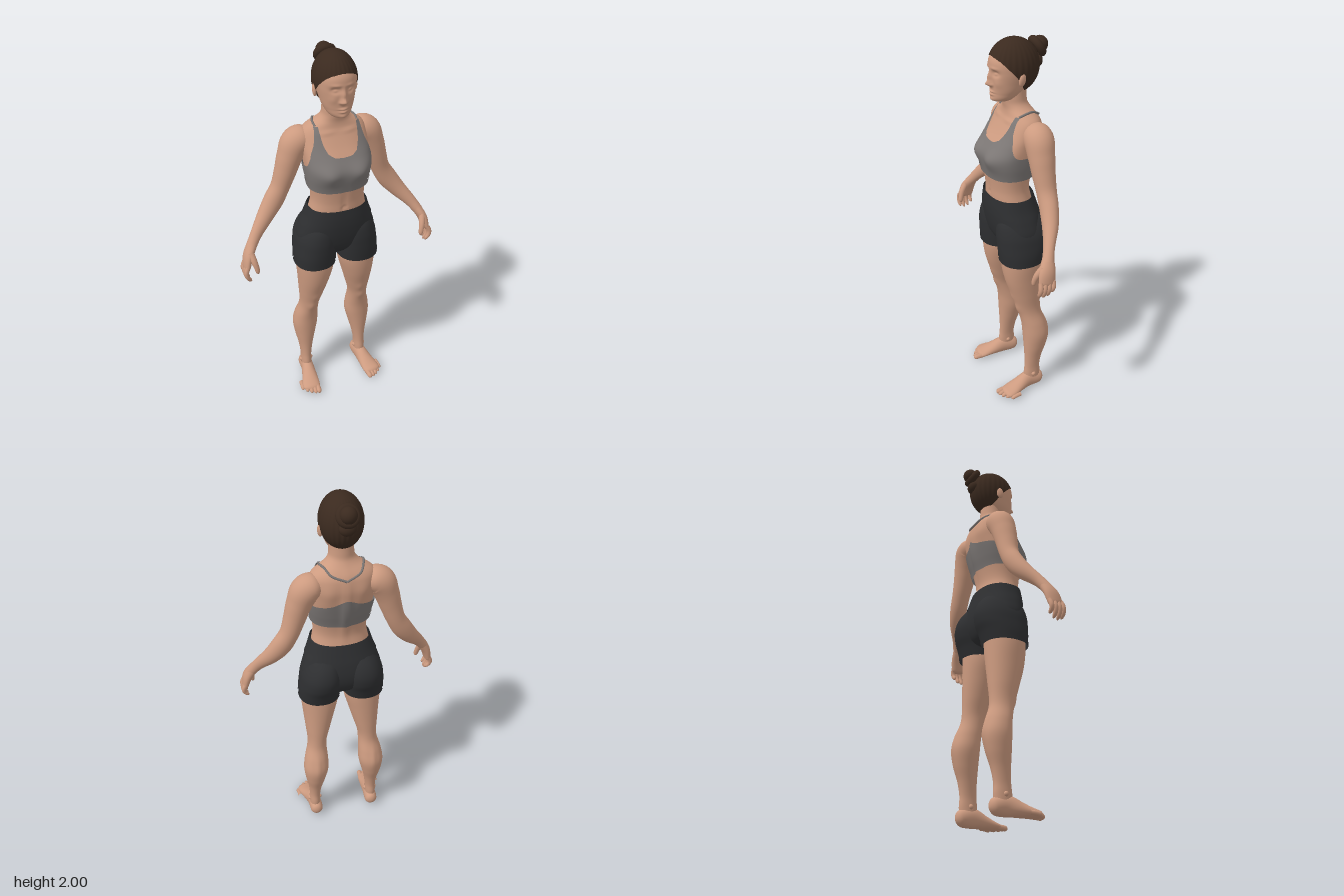
import * as THREE from 'three';
import { mergeVertices } from 'three/addons/utils/BufferGeometryUtils.js';

const { PI, sin, cos, acos, abs, sign, sqrt, min, max, exp } = Math;
const V = (x = 0, y = 0, z = 0) => new THREE.Vector3(x, y, z);

// Smooth interpolation of table rows, keyed by the first column (ascending)
function interp(rows, key) {
  const n = rows.length, k = min(max(key, rows[0][0]), rows[n - 1][0]);
  let i = 0;
  while (i < n - 2 && k > rows[i + 1][0]) i++;
  const a = rows[i], b = rows[i + 1], p = rows[max(i - 1, 0)], q = rows[min(i + 2, n - 1)];
  const h = b[0] - a[0], t = (k - a[0]) / h, t2 = t * t, t3 = t2 * t;
  return a.map((_, c) => {
    const ma = (b[c] - p[c]) / (b[0] - p[0]) * h, mb = (q[c] - a[c]) / (q[0] - a[0]) * h;
    return (2 * t3 - 3 * t2 + 1) * a[c] + (t3 - 2 * t2 + t) * ma + (3 * t2 - 2 * t3) * b[c] + (t3 - t2) * mb;
  });
}

// Smooth surface over a u, v grid
function grid(nu, nv, fn) {
  const pos = [], idx = [];
  for (let i = 0; i <= nu; i++) for (let j = 0; j <= nv; j++) pos.push(...fn(i / nu, j / nv).toArray());
  for (let i = 0; i < nu; i++) for (let j = 0; j < nv; j++) {
    const a = i * (nv + 1) + j, b = a + nv + 1;
    idx.push(a, a + 1, b, b, a + 1, b + 1);
  }
  const open = new THREE.BufferGeometry();
  open.setAttribute('position', new THREE.Float32BufferAttribute(pos, 3));
  open.setIndex(idx);
  const g = mergeVertices(open, 1e-5);
  g.computeVertexNormals();
  return g;
}

// Body surface from rings [y, centreX, frontZ, backZ, halfWidth, power]; bumps are [x, y, sx, sy, amount, side]
function body(table, bumps = []) {
  const rings = table.map(([y, cx, zf, zb, rx, n = 2]) => [y, cx, zf, zb, rx, n]);
  const surface = (th, y, off = 0) => {
    const [, cx, zf, zb, rx, n] = interp(rings, y);
    const c = cos(th), s = sin(th), e = 2 / n;
    const x = cx + (rx + off) * sign(c) * abs(c) ** e;
    let z = (zf + zb) / 2 + ((zf - zb) / 2 + off) * sign(s) * abs(s) ** e;
    for (const [bx, by, sx, sy, amt, side] of bumps)
      if (s * side > 0) z += amt * min(1, abs(s) * 3) * exp(-(((x - bx) / sx) ** 2) - (((y - by) / sy) ** 2));
    return V(x, y, z);
  };
  surface.angleAt = (x, y) => {
    const [, , , , rx, n] = interp(rings, y);
    return acos(min(1, x / rx) ** (n / 2));
  };
  return surface;
}
const wrap = (f, lo, hi, off = 0, nu = 64, nv = 64) =>
  grid(nu, nv, (u, v) => f(u * 2 * PI, lo + (hi - lo) * v, off));

// Tube through points [x, y, z, r1, r2] with rounded ends
function sweep(pts, { ref = V(0, 0, 1), start = 0, end = 0, nu = 20, nv = 28 }) {
  const curve = new THREE.CatmullRomCurve3(pts.map(p => V(p[0], p[1], p[2])));
  const table = pts.map((p, i) => [i / (pts.length - 1), p[3], p[4] ?? p[3]]);
  return grid(nu, nv, (u, v) => {
    const t = 0.5 - 0.5 * cos(PI * v), p = curve.getPoint(t), T = curve.getTangent(t);
    const N = V().crossVectors(ref, T).normalize(), B = V().crossVectors(T, N);
    const [, ra, rb] = interp(table, t);
    let k = 1;
    if (t < start) k = sqrt(max(0, 1 - (1 - t / start) ** 2));
    if (t > 1 - end) k = sqrt(max(0, 1 - (1 - (1 - t) / end) ** 2));
    return p.addScaledVector(N, ra * k * cos(u * 2 * PI)).addScaledVector(B, -rb * k * sin(u * 2 * PI));
  });
}

const both = list => list.flatMap(b => [b, [-b[0], ...b.slice(1)]]);

export function createModel() {
  const group = new THREE.Group();
  const mat = (name, color, side = THREE.FrontSide) => new THREE.MeshStandardMaterial({ name, color, side });
  const skin = mat('skin', 0xcd9b80), hair = mat('hair brown', 0x3b2a1f, THREE.DoubleSide);
  const black = mat('shorts charcoal', 0x2e2f31, THREE.DoubleSide), grey = mat('top grey', 0x7c7775, THREE.DoubleSide);
  const add = (name, geo, m, parent = group) => {
    const mesh = new THREE.Mesh(geo, m);
    mesh.name = name;
    parent.add(mesh);
    return mesh;
  };

  // Torso and neck, with bust, shoulder blades, spine and collarbones
  const torso = body([
    [1.10, 0, .11, -.10, .17, 2.2], [1.20, 0, .128, -.08, .148, 2.2], [1.26, 0, .13, -.07, .138, 2.2],
    [1.33, 0, .138, -.08, .143, 2.3], [1.40, 0, .148, -.10, .155, 2.5], [1.45, 0, .145, -.112, .161, 2.6],
    [1.50, 0, .12, -.12, .165, 2.5], [1.55, 0, .088, -.126, .168, 2.4], [1.60, 0, .06, -.122, .162, 2.3],
    [1.625, 0, .048, -.113, .148, 2.2], [1.645, 0, .043, -.10, .12, 2.2], [1.665, 0, .042, -.086, .087, 2.1],
    [1.69, 0, .046, -.073, .066], [1.72, 0, .05, -.07, .061], [1.77, 0, .045, -.068, .06],
  ], [[0, 1.42, .02, .16, -.014, -1], [0, 1.25, .012, .08, -.005, 1], [0, 1.23, .008, .01, -.006, 1],
    ...both([[.08, 1.435, .055, .05, .022, 1], [.085, 1.53, .04, .06, -.008, -1], [.06, 1.615, .04, .009, .005, 1]])]);
  add('torso', wrap(torso, 1.10, 1.77, 0, 72, 84), skin);

  // Cropped top: wrapped body, under-band, shoulder straps and neck cord
  const frontEdge = [[0, 1.51], [.045, 1.515], [.07, 1.53], [.135, 1.525], [.165, 1.455]];
  const backEdge = [[0, 1.505], [.06, 1.475], [.165, 1.455]];
  add('croppedTop', grid(96, 30, (u, v) => {
    const th = u * 2 * PI, x = .165 * abs(cos(th)) ** .8;
    const top = interp(sin(th) > 0 ? frontEdge : backEdge, x)[1];
    return torso(th, 1.335 + (top - 1.335) * v, .009);
  }), grey);
  add('topUnderBand', wrap(torso, 1.333, 1.362, .013, 72, 4), grey);
  const strapEdges = [[1.49, .045, .15], [1.53, .068, .14], [1.57, .084, .124], [1.62, .09, .112], [1.645, .09, .108]];
  const cord = [[.6, 1.643], [.1, 1.654], [-.5, 1.655], [-1.1, 1.632], [-PI / 2, 1.605]];
  for (const s of [1, -1]) {
    const turn = th => (s > 0 ? th : PI - th);
    add('topStrap', grid(8, 24, (u, v) => {
      const [y, a, b] = interp(strapEdges, 1.49 + .155 * v);
      return torso(turn(torso.angleAt(a + (b - a) * u, y)), y, .009);
    }), grey);
    add('neckCord', new THREE.TubeGeometry(
      new THREE.CatmullRomCurve3(cord.map(([th, y]) => torso(turn(th), y, .004))), 30, .006, 6), grey);
  }

  // Head with sculpted sockets, lids, nose, lips, cheeks and chin
  const head = body([
    [1.698, 0, .07, .066, .002], [1.712, 0, .104, 0, .044], [1.75, 0, .108, -.05, .07, 2.1],
    [1.80, 0, .11, -.085, .084, 2.2], [1.85, 0, .114, -.105, .093, 2.2], [1.90, 0, .113, -.108, .094, 2.1],
    [1.94, 0, .092, -.095, .079], [1.97, 0, .06, -.06, .05], [1.985, 0, .01, -.01, .01],
  ], [[0, 1.825, .011, .03, .016, 1], [0, 1.795, .013, .014, .024, 1], [0, 1.755, .02, .006, .008, 1],
    [0, 1.742, .018, .006, .009, 1], [0, 1.749, .022, .003, -.004, 1], [0, 1.717, .02, .012, .006, 1],
    ...both([[.036, 1.848, .02, .014, -.015, 1], [.036, 1.846, .011, .007, .008, 1], [.034, 1.872, .022, .008, .004, 1],
      [.014, 1.79, .007, .007, .008, 1], [.05, 1.80, .018, .02, .004, 1]])]);
  add('head', wrap(head, 1.698, 1.985, 0, 104, 96), skin);
  for (const s of [1, -1]) {
    const ear = add('ear', new THREE.SphereGeometry(1, 16, 12), skin);
    ear.scale.set(.011, .032, .02);
    ear.position.set(s * .099, 1.822, -.006);
    ear.rotation.set(-.2, s * .3, 0);
  }

  // Swept-back hair with combed ridges
  const hairline = [[-1, 2.75], [-.5, 2.6], [-.15, 2.3], [.05, 2.0], [.3, 1.7], [.7, 1.3], [1, 1.1]];
  add('hair', grid(156, 30, (u, v) => {
    const th = u * 2 * PI, ph = interp(hairline, sin(th))[1] * (1 - v);
    const r = 1 + .009 * sin(th * 26) * sin(ph);
    return V(.105 * r * sin(ph) * cos(th), 1.865 + .134 * cos(ph), -.006 + .128 * r * sin(ph) * sin(th));
  }), hair);
  const bun = new THREE.Group();
  bun.name = 'hairBun';
  bun.position.set(0, 1.94, -.13);
  bun.rotation.x = .55;
  group.add(bun);
  add('bunCoil', new THREE.TorusGeometry(.037, .02, 12, 32), hair, bun);
  add('bunTop', new THREE.SphereGeometry(.04, 20, 14), hair, bun).position.z = -.016;
  const lower = add('bunLower', new THREE.SphereGeometry(1, 16, 12), hair);
  lower.scale.set(.04, .035, .03);
  lower.position.set(0, 1.875, -.125);

  // Shorts: hips and waistband
  const hips = body([
    [.89, 0, .03, -.03, .03], [.92, 0, .07, -.09, .11], [.97, 0, .108, -.12, .195, 2.2], [1.03, 0, .126, -.13, .212, 2.3],
    [1.10, 0, .136, -.122, .194, 2.3], [1.16, 0, .138, -.105, .17, 2.3], [1.215, 0, .134, -.088, .152, 2.3],
  ]);
  add('shortsHips', wrap(hips, .89, 1.215, 0, 64, 40), black);
  add('shortsWaistband', wrap(hips, 1.125, 1.215, .004, 64, 12), black);

  for (const s of [1, -1]) {
    const side = s > 0 ? 'left' : 'right';
    const flip = pts => pts.map(([x, ...rest]) => [s * x, ...rest]);
    const limb = (rows, power, bumps) => body(rows.map(([y, x, ...r]) => [y, s * x, ...r, power]), bumps);

    // Shorts leg and hem
    const shortsLeg = limb([
      [.865, .12, .12, -.11, .108], [.92, .117, .127, -.128, .112], [.97, .112, .131, -.148, .112],
      [1.03, .106, .132, -.154, .108], [1.09, .098, .122, -.134, .09], [1.15, .085, .09, -.085, .06],
    ], 2.2);
    add(side + 'ShortsLeg', wrap(shortsLeg, .865, 1.15, 0, 48, 36), black);
    add(side + 'ShortsHem', wrap(shortsLeg, .865, .885, .003, 48, 3), black);

    // Leg with kneecap and calf
    const leg = limb([
      [.03, .169, .005, -.085, .03], [.10, .169, .006, -.09, .03], [.15, .168, .001, -.088, .03],
      [.22, .166, 0, -.10, .039], [.30, .164, .003, -.125, .056], [.38, .16, .007, -.138, .069],
      [.45, .155, .013, -.122, .064], [.52, .147, .028, -.098, .053], [.57, .143, .042, -.093, .053],
      [.65, .135, .068, -.095, .067], [.75, .125, .098, -.098, .085], [.85, .117, .112, -.10, .101], [.95, .117, .11, -.10, .10],
    ], 2.1, [[s * .147, .555, .025, .03, .008, 1], [s * .13, .63, .02, .03, .005, 1], [s * .16, .42, .014, .06, -.006, -1]]);
    add(side + 'Leg', wrap(leg, .03, .95, 0, 40, 80), skin);

    // Foot, ankle bones and toes
    const up = V(0, 1, 0);
    add(side + 'Foot', sweep(flip([
      [.167, .036, -.108, .03, .032], [.167, .045, -.07, .036, .045], [.17, .05, -.015, .036, .05],
      [.179, .037, .045, .043, .036], [.189, .025, .10, .05, .024], [.194, .019, .145, .046, .017],
    ]), { ref: up, start: .12, end: .1, nu: 28, nv: 36 }), skin);
    for (let i = 0; i < 5; i++) {
      const x = .161 + .02 * i, r = i ? .0115 : .0145, z = .178 - .003 * i * i - .002 * i;
      add(side + 'Toe', sweep(flip([[x - .003, .02, z - .06, r], [x, .018, z - .025, r], [x + .002, r, z, r]]),
        { ref: up, end: .35, nu: 12, nv: 14 }), skin);
    }
    for (const dx of [-.027, .027])
      add(side + 'AnkleBone', new THREE.SphereGeometry(.013, 12, 8), skin).position.set(s * .169 + dx, .1, -.04);

    // Arm from shoulder to wrist
    add(side + 'Arm', sweep(flip([
      [.10, 1.57, -.05, .05, .06], [.178, 1.552, -.052, .072, .073], [.216, 1.48, -.05, .064, .066],
      [.242, 1.40, -.05, .056, .058], [.272, 1.315, -.052, .049, .05], [.312, 1.245, -.046, .052, .046],
      [.362, 1.18, -.028, .044, .04], [.428, 1.105, .012, .031, .028], [.468, 1.05, .038, .026, .03],
    ]), { start: .08, nu: 32, nv: 56 }), skin);

    // Hand with curled fingers and thumb
    add(side + 'Palm', sweep(flip([
      [.455, 1.07, .03, .026, .028], [.488, 1.01, .05, .024, .042], [.506, .94, .062, .016, .042],
    ]), { end: .15, nu: 24 }), skin);
    for (let i = 0; i < 4; i++) {
      const z = .096 - .022 * i, tip = [.885, .875, .88, .9][i];
      add(side + 'Finger', sweep(flip([
        [.502, .97, z - .004, .012], [.514, .937, z, .0125], [.509, (tip + .937) / 2, z + .002, .0115], [.49, tip, z, .009],
      ]), { end: .2, nu: 12, nv: 18 }), skin);
    }
    add(side + 'Thumb', sweep(flip([
      [.478, 1.035, .065, .018], [.468, .995, .092, .016], [.46, .96, .104, .013], [.456, .93, .108, .011],
    ]), { end: .2, nu: 14, nv: 18 }), skin);
  }
  return group;
}
